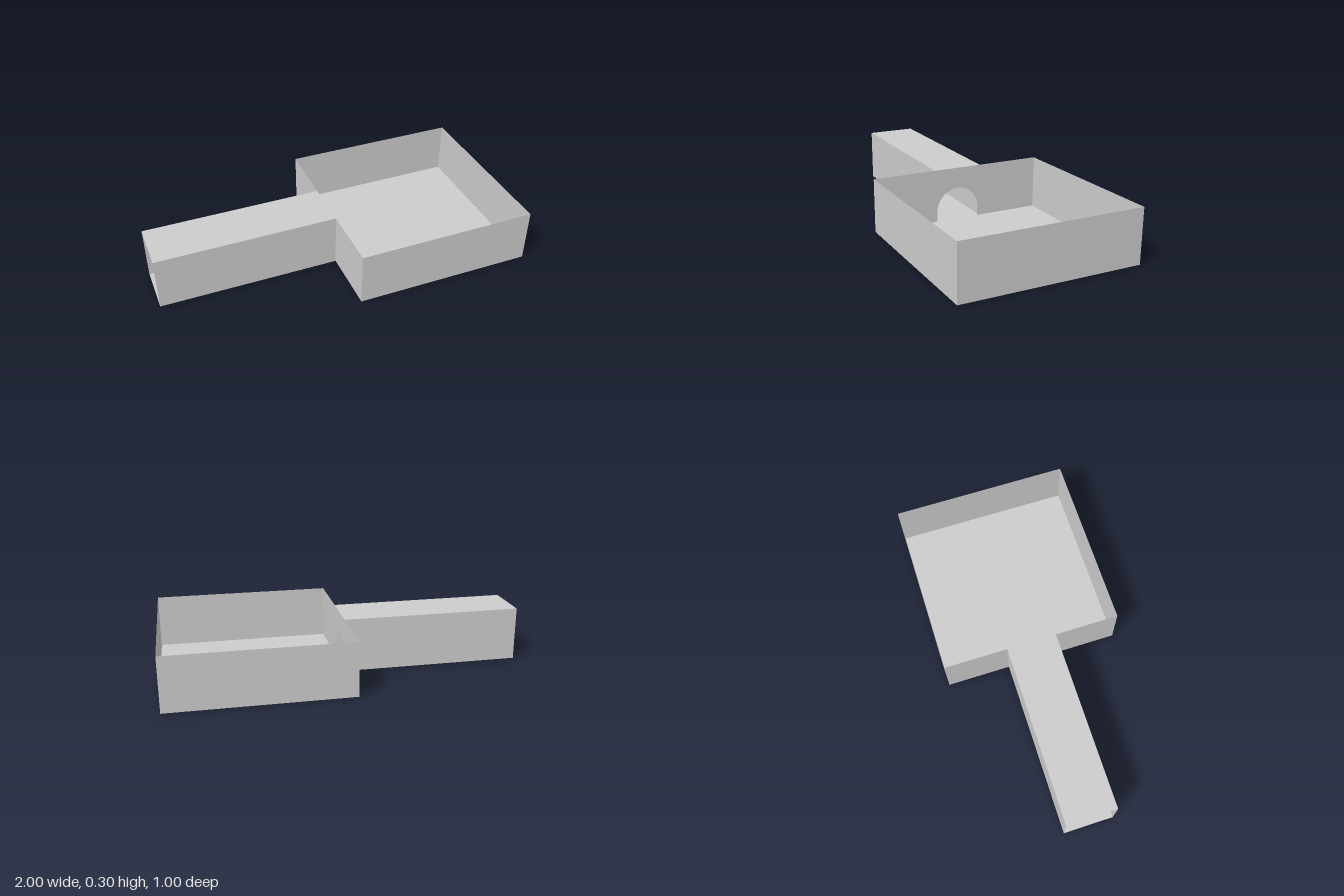
import * as THREE from 'three';

const HEIGHT = 0.3;
const ROOM_HALF = 0.5;      // half depth of the room
const PASSAGE_HALF = 0.14;  // half width of the passage
const DOOR_HALF = 0.127;    // half width of the archway
const DOOR_SPRING = 0.055;  // height at which the arch begins

export function createModel() {
  const model = new THREE.Group();
  const material = new THREE.MeshStandardMaterial({ color: 0xcccccc, side: THREE.DoubleSide });

  function add(parent, name, geometry) {
    const mesh = new THREE.Mesh(geometry, material);
    mesh.name = name;
    parent.add(mesh);
    return mesh;
  }

  // Horizontal sheet, facing up or down
  function slab(parent, name, x, y, width, depth, facing) {
    const geometry = new THREE.PlaneGeometry(width, depth);
    geometry.rotateX(-facing * Math.PI / 2);
    add(parent, name, geometry).position.set(x, y, 0);
  }

  // Upright sheet along x, facing outward
  function sideWall(parent, name, x, z, width) {
    const geometry = new THREE.PlaneGeometry(width, HEIGHT);
    if (z < 0) geometry.rotateY(Math.PI);
    add(parent, name, geometry).position.set(x, HEIGHT / 2, z);
  }

  // Open-topped room
  const room = new THREE.Group();
  room.name = 'room';
  slab(room, 'roomFloor', 0.5, 0, 1, 2 * ROOM_HALF, -1);
  sideWall(room, 'frontWall', 0.5, ROOM_HALF, 1);
  sideWall(room, 'backWall', 0.5, -ROOM_HALF, 1);
  const endWall = new THREE.PlaneGeometry(2 * ROOM_HALF, HEIGHT).rotateY(Math.PI / 2);
  add(room, 'endWall', endWall).position.set(1, HEIGHT / 2, 0);

  // Wall between room and passage, with the arched doorway cut from its lower edge
  const outline = new THREE.Shape();
  outline.moveTo(-ROOM_HALF, 0);
  outline.lineTo(-DOOR_HALF, 0);
  outline.lineTo(-DOOR_HALF, DOOR_SPRING);
  outline.absarc(0, DOOR_SPRING, DOOR_HALF, Math.PI, 0, true);
  outline.lineTo(DOOR_HALF, 0);
  outline.lineTo(ROOM_HALF, 0);
  outline.lineTo(ROOM_HALF, HEIGHT);
  outline.lineTo(-ROOM_HALF, HEIGHT);
  outline.closePath();
  add(room, 'archedWall', new THREE.ShapeGeometry(outline, 24).rotateY(-Math.PI / 2));
  model.add(room);

  // Roofed passage, open at its far end
  const passage = new THREE.Group();
  passage.name = 'passage';
  slab(passage, 'passageFloor', -0.5, 0, 1, 2 * PASSAGE_HALF, -1);
  slab(passage, 'passageRoof', -0.5, HEIGHT, 1, 2 * PASSAGE_HALF, 1);
  sideWall(passage, 'passageFrontWall', -0.5, PASSAGE_HALF, 1);
  sideWall(passage, 'passageBackWall', -0.5, -PASSAGE_HALF, 1);
  model.add(passage);

  return model;
}
